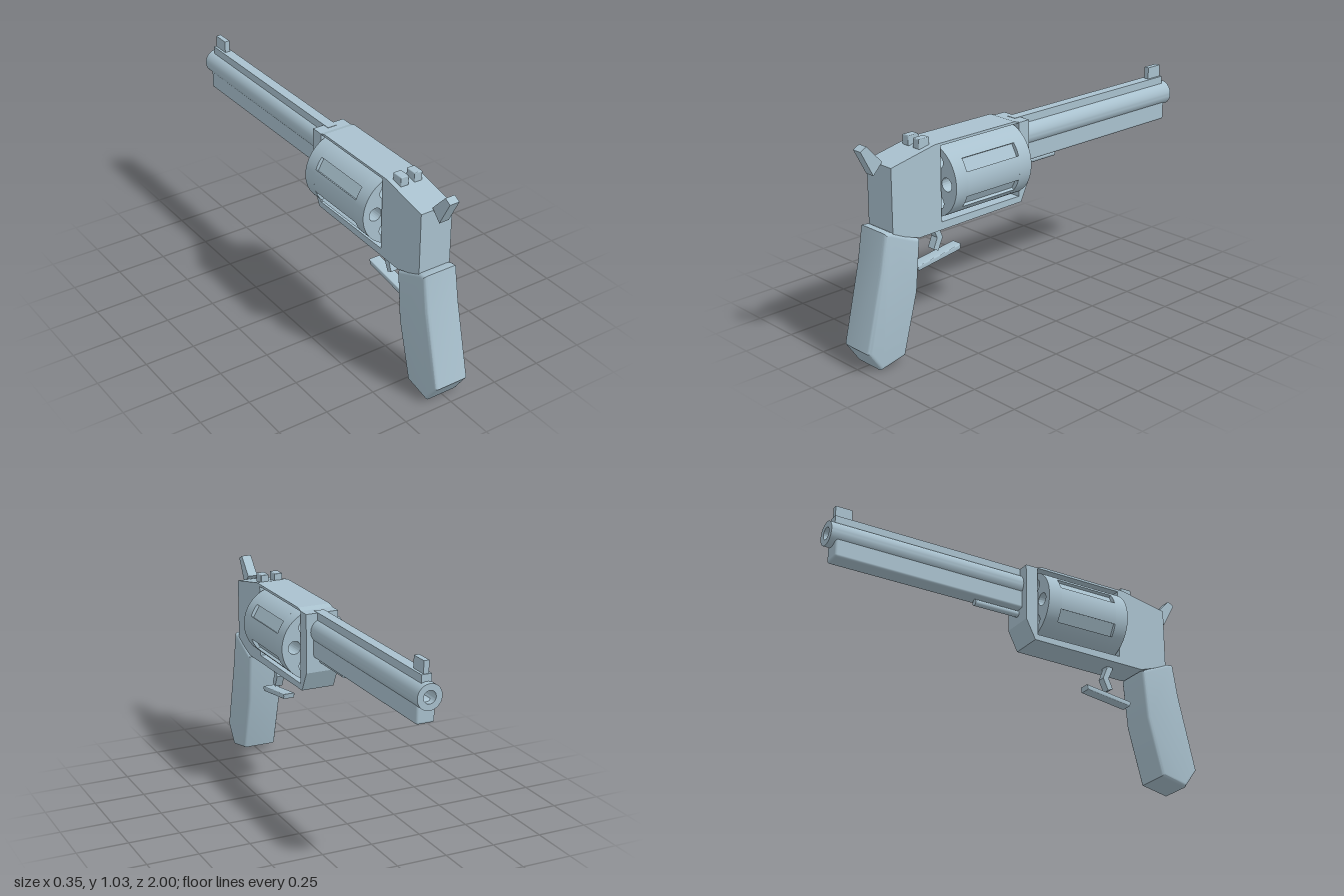
import * as THREE from 'three';
import { toCreasedNormals } from 'three/addons/utils/BufferGeometryUtils.js';
import { RoundedBoxGeometry } from 'three/addons/geometries/RoundedBoxGeometry.js';

const steel = new THREE.MeshStandardMaterial({ color: 0xa9c1ce });
steel.name = 'blue grey';

// Side outline given as [z, y] points, extruded across x and centred on x = 0
function sideExtrude(points, halfWidth, bevel = 0, hole = null) {
  const toVec = ([z, y]) => new THREE.Vector2(-z, y);
  const shape = new THREE.Shape(points.map(toVec));
  if (hole) shape.holes.push(new THREE.Path(hole.map(toVec)));
  const depth = 2 * (halfWidth - bevel);
  const geo = new THREE.ExtrudeGeometry(shape, {
    depth, bevelEnabled: bevel > 0, bevelThickness: bevel,
    bevelSize: bevel, bevelOffset: -bevel, bevelSegments: 4,
  });
  geo.translate(0, 0, -depth / 2).rotateY(Math.PI / 2);
  return bevel ? toCreasedNormals(geo, 0.5) : geo;
}

// Box from its limits
function box(x0, x1, y0, y1, z0, z1, radius = 0) {
  const s = [x1 - x0, y1 - y0, z1 - z0];
  const geo = radius ? new RoundedBoxGeometry(...s, 3, radius) : new THREE.BoxGeometry(...s);
  return geo.translate((x0 + x1) / 2, (y0 + y1) / 2, (z0 + z1) / 2);
}

// Slice of the drum with six chambers; fluted slices get six flat pockets
function drumSlice(z0, z1, fluted) {
  const R = 0.175, half = 0.032, floor = 0.157;
  const shape = new THREE.Shape();
  if (fluted) {
    const a = Math.asin(half / R), pts = [];
    for (let i = 0; i < 6; i++) {
      const mid = Math.PI / 6 + i * Math.PI / 3;
      const c = Math.cos(mid), s = Math.sin(mid);
      for (const t of [-half, half]) pts.push(new THREE.Vector2(floor * c - t * s, floor * s + t * c));
      for (let k = 0; k <= 10; k++) {
        const ang = mid + a + (Math.PI / 3 - 2 * a) * k / 10;
        pts.push(new THREE.Vector2(R * Math.cos(ang), R * Math.sin(ang)));
      }
    }
    shape.setFromPoints(pts);
  } else {
    shape.absarc(0, 0, R, 0, Math.PI * 2);
  }
  for (let i = 0; i < 6; i++) {
    const ang = i * Math.PI / 3;
    shape.holes.push(new THREE.Path().absarc(0.11 * Math.cos(ang), 0.11 * Math.sin(ang), 0.032, 0, Math.PI * 2, true));
  }
  const geo = new THREE.ExtrudeGeometry(shape, { depth: z1 - z0, bevelEnabled: false, curveSegments: 40 });
  return toCreasedNormals(geo.translate(0, 0.79, z0), 0.5);
}

export function createModel() {
  const model = new THREE.Group();
  const add = (name, geo, parent = model) => {
    const mesh = new THREE.Mesh(geo, steel);
    mesh.name = name;
    parent.add(mesh);
    return mesh;
  };

  // Frame with the window for the drum
  add('frame', sideExtrude(
    [[0.84, 0.93], [0.84, 0.62], [0.69, 0.57], [0.07, 0.58], [0.02, 0.68],
      [0.02, 0.97], [0.08, 0.97], [0.11, 0.98], [0.59, 0.98]],
    0.083, 0, [[0.56, 0.61], [0.56, 0.968], [0.085, 0.968], [0.085, 0.61]]));

  // Grip
  add('grip', sideExtrude(
    [[0.885, 0.64], [0.85, 0.637], [0.69, 0.565], [0.712, 0.32], [0.79, 0.03],
      [0.93, 0], [1, 0.1], [0.913, 0.47]], 0.09, 0.018));

  // Drum
  const drum = new THREE.Group();
  drum.name = 'drum';
  model.add(drum);
  add('drumFront', drumSlice(0.093, 0.165, false), drum);
  add('drumMiddle', drumSlice(0.165, 0.48, true), drum);
  add('drumBack', drumSlice(0.48, 0.55, false), drum);

  // Barrel tube with an open bore
  const tube = [[0.03, -0.04], [0.06, -0.04], [0.06, 1], [0.03, 1], [0.03, -0.04]];
  const barrel = new THREE.LatheGeometry(tube.map(p => new THREE.Vector2(...p)), 40);
  add('barrel', toCreasedNormals(barrel.rotateX(-Math.PI / 2).translate(0, 0.88, 0), 0.5));
  add('underLug', box(-0.045, 0.045, 0.752, 0.86, -0.97, 0.03, 0.012));
  add('topRib', box(-0.025, 0.025, 0.92, 0.972, -0.97, 0.055));
  const rod = new THREE.CylinderGeometry(0.016, 0.016, 0.32, 20);
  add('ejectorRod', rod.rotateX(Math.PI / 2).translate(0, 0.736, -0.06));

  // Sights
  add('frontSight', box(-0.013, 0.013, 0.965, 1.03, -0.965, -0.88));
  for (const side of [-1, 1]) {
    const sight = box(-0.021, 0.021, 0.965, 1.012, 0.6, 0.66, 0.004);
    add(side > 0 ? 'leftRearSight' : 'rightRearSight', sight.translate(side * 0.036, 0, 0));
  }

  // Hammer, trigger and guard bar
  add('hammer', sideExtrude([[0.955, 1.015], [0.89, 0.893], [0.82, 0.93], [0.84, 0.945], [0.922, 1.033]]
    .filter((p, i) => i !== 2), 0.025));
  add('trigger', sideExtrude(
    [[0.565, 0.6], [0.558, 0.56], [0.535, 0.51], [0.557, 0.458], [0.53, 0.445], [0.502, 0.505], [0.525, 0.56], [0.525, 0.6]],
    0.02));
  add('guardBar', sideExtrude([[0.66, 0.402], [0.65, 0.384], [0.405, 0.419], [0.4, 0.445], [0.65, 0.41]], 0.03, 0.005));

  return model;
}
